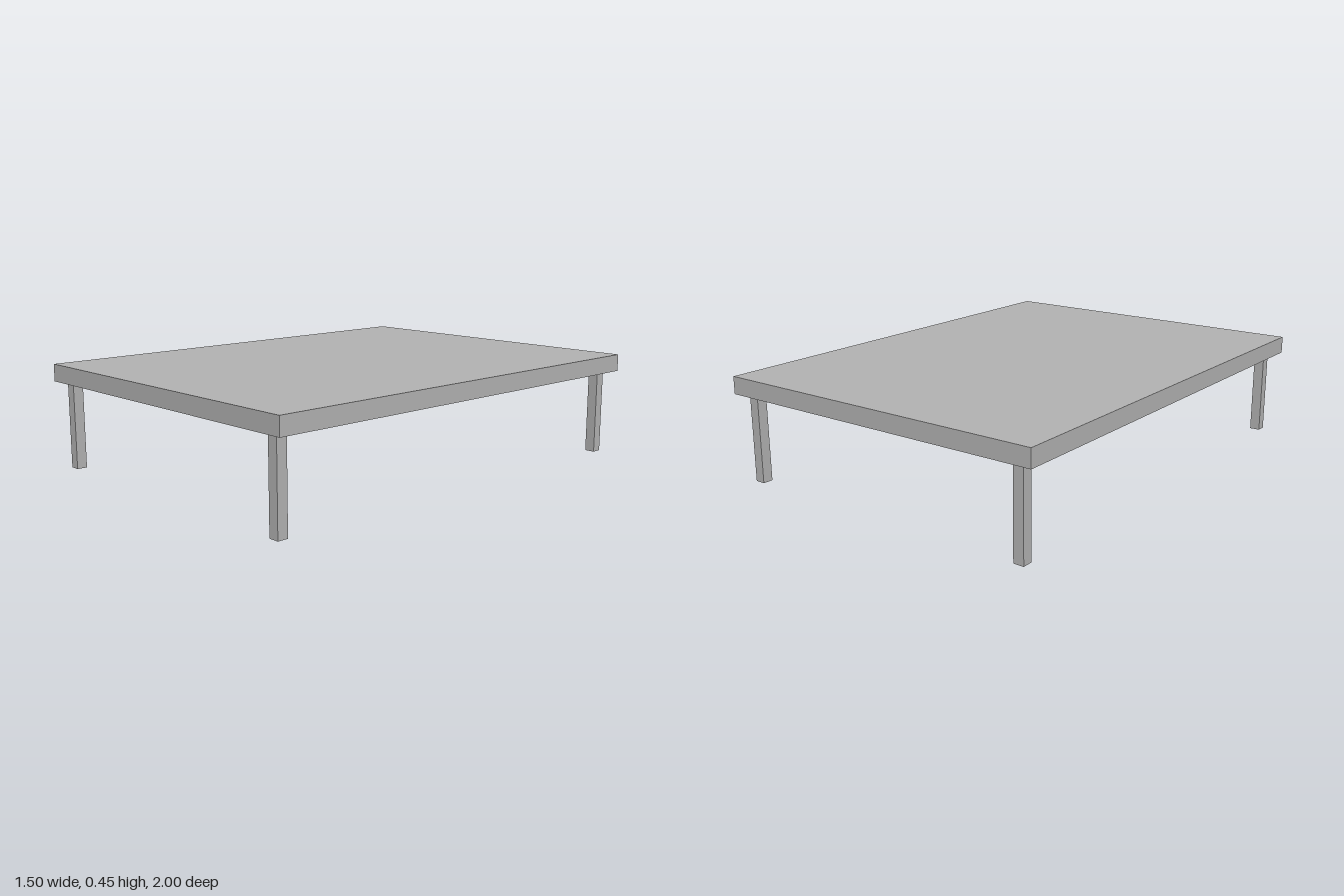
import * as THREE from 'three';

export function createModel() {
  const table = new THREE.Group();
  table.name = 'lowTable';
  const grey = new THREE.MeshStandardMaterial({ color: 0xb2b2b2 });
  grey.name = 'grey';

  const addBox = (name, size, position) => {
    const mesh = new THREE.Mesh(new THREE.BoxGeometry(...size), grey);
    mesh.name = name;
    mesh.position.set(...position);
    table.add(mesh);
  };

  const height = 0.45, topThickness = 0.075;
  const legHeight = height - topThickness, legWidth = 0.045;

  // Slab top
  addBox('tableTop', [1.5, topThickness, 2], [0, height - topThickness / 2, 0]);

  // Four square legs, set in from the corners
  for (const [side, x] of [['Left', 0.6725], ['Right', -0.6725]]) {
    for (const [end, z] of [['front', 0.945], ['back', -0.945]]) {
      addBox(`${end}${side}Leg`, [legWidth, legHeight, legWidth], [x, legHeight / 2, z]);
    }
  }
  return table;
}
